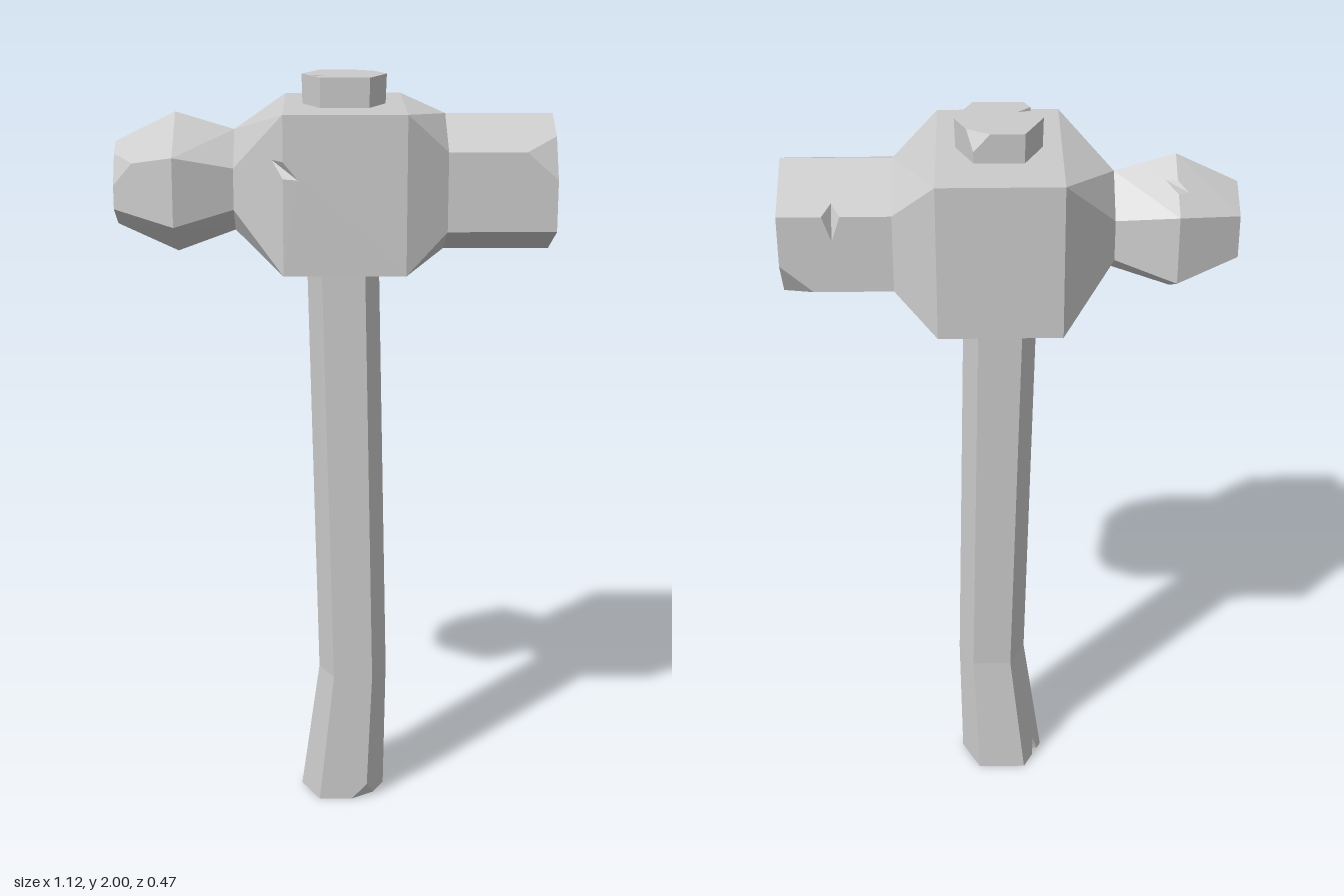
import * as THREE from 'three';
import { ConvexGeometry } from 'three/addons/geometries/ConvexGeometry.js';
import { mergeGeometries } from 'three/addons/utils/BufferGeometryUtils.js';

const V = (x, y, z) => new THREE.Vector3(x, y, z);
const pts = (list) => list.map((p) => V(...p));

// Part of a convex point set on the positive side of a plane
function clip(points, plane) {
  const eps = 1e-6;
  const kept = points.filter((p) => plane.distanceToPoint(p) > -eps);
  const pos = new ConvexGeometry(points).attributes.position;
  const add = (p) => {
    if (!kept.some((q) => q.distanceTo(p) < 1e-5)) kept.push(p);
  };
  for (let i = 0; i < pos.count; i++) {
    const a = V().fromBufferAttribute(pos, i);
    const b = V().fromBufferAttribute(pos, i % 3 === 2 ? i - 2 : i + 1);
    const da = plane.distanceToPoint(a), db = plane.distanceToPoint(b);
    if ((da > eps && db < -eps) || (da < -eps && db > eps)) add(a.lerp(b, da / (da - db)));
  }
  return kept;
}

// Remove the region around ref bounded by one or two planes; returns convex pieces
function carve(points, ref, triangles) {
  const pieces = [];
  let rest = points;
  for (const t of triangles) {
    const plane = new THREE.Plane().setFromCoplanarPoints(...t);
    if (plane.distanceToPoint(ref) > 0) plane.negate();
    pieces.push(clip(rest, plane));
    rest = clip(rest, plane.clone().negate());
  }
  return pieces;
}

// Broken corner: plane through three points near the corner
const chip = (corner, ...tri) => (points) => carve(points, V(...corner), [pts(tri)]);

// V-shaped nick in an edge: p, q on the edge, a and b the tips on the two faces
const nick = (...four) => (points) => {
  const [p, q, a, b] = pts(four);
  return carve(points, p.clone().lerp(q, 0.5), [[p, a, b], [q, a, b]]);
};

// Apply each piece of damage only to the sub-solid whose bounds hold it
function solid(points, damage = []) {
  let pieces = [points];
  for (const cut of damage) pieces = pieces.flatMap(cut).filter((p) => p.length > 3);
  return pieces.map((p) => new ConvexGeometry(p));
}

// Six-sided section of the head at x
const headRing = (x, top, high, low, bottom, z) => pts([
  [x, top, 0], [x, high, z], [x, low, z], [x, bottom, 0], [x, low, -z], [x, high, -z],
]);

// Six-sided section of the handle at y
const handleRing = (y, x0, x1, x2, x3, zf, zb) => pts([
  [x0, y, (zf + zb) / 2], [x1, y, zf], [x2, y, zf], [x3, y, (zf + zb) / 2], [x2, y, zb], [x1, y, zb],
]);

export function createModel() {
  const group = new THREE.Group();
  const material = new THREE.MeshStandardMaterial({ color: 0xcccccc, flatShading: true });
  const addPart = (name, geometries) => {
    const mesh = new THREE.Mesh(mergeGeometries(geometries), material);
    mesh.name = name;
    group.add(mesh);
  };

  const neckLeft = headRing(-0.255, 1.86, 1.775, 1.67, 1.6, 0.106);
  const neckRight = headRing(0.285, 1.9, 1.825, 1.625, 1.55, 0.175);

  // Central block tapering to both necks
  const block = [...neckLeft, ...neckRight];
  for (const x of [-0.127, 0.18])
    for (const y of [1.525, 1.925])
      for (const z of [-0.235, 0.235]) block.push(V(x, y, z));
  addPart('headBlock', solid(block, [
    nick([-0.127, 1.81, 0.235], [-0.127, 1.768, 0.235], [-0.155, 1.812, 0.207], [-0.09, 1.765, 0.235]),
  ]));

  // Rounded peen
  const peen = [
    ...neckLeft,
    ...headRing(-0.405, 1.905, 1.81, 1.635, 1.545, 0.167),
    ...headRing(-0.56, 1.83, 1.78, 1.67, 1.617, 0.095),
  ];
  addPart('peen', solid(peen, [
    chip([-0.56, 1.78, 0.095], [-0.51, 1.79, 0.118], [-0.56, 1.803, 0.05], [-0.56, 1.73, 0.095]),
    (p) => (Math.min(...p.map((v) => v.z)) < -0.1
      ? nick([-0.405, 1.845, -0.105], [-0.405, 1.865, -0.07], [-0.43, 1.842, -0.09], [-0.375, 1.862, -0.06])(p)
      : [p]),
  ]));

  // Striking face
  const poll = [...neckRight, ...headRing(0.56, 1.9, 1.825, 1.625, 1.55, 0.175)];
  addPart('strikingFace', solid(poll, [
    chip([0.56, 1.825, 0.175], [0.48, 1.825, 0.175], [0.56, 1.855, 0.105], [0.56, 1.755, 0.175]),
    chip([0.56, 1.625, -0.175], [0.48, 1.625, -0.175], [0.56, 1.595, -0.105], [0.56, 1.695, -0.175]),
    nick([0.408, 1.825, -0.175], [0.452, 1.825, -0.175], [0.43, 1.842, -0.135], [0.43, 1.76, -0.175]),
  ]));

  // Bent handle, from the butt up through the head
  const rings = [
    handleRing(0, -0.09, -0.04, 0.09, 0.14, 0.1, -0.097),
    handleRing(0.37, -0.04, 0, 0.105, 0.145, 0.095, -0.07),
    handleRing(1.525, -0.07, -0.032, 0.08, 0.118, 0.088, -0.086),
    handleRing(2, -0.082, -0.035, 0.09, 0.135, 0.1, -0.1),
  ];
  const buttDamage = [
    chip([0.09, 0, 0.1], [0.05, 0, 0.1], [0.093, 0.045, 0.099], [0.11, 0, 0.06]),
    nick([-0.08, 0, -0.019], [-0.065, 0, -0.049], [-0.068, 0.05, -0.03], [-0.03, 0, -0.02]),
  ];
  const topDamage = [
    chip([0.09, 2, -0.1], [0.048, 2, -0.1], [0.105, 2, -0.066], [0.088, 1.955, -0.099]),
    nick([-0.061, 2, 0.045], [-0.051, 2, 0.066], [-0.054, 1.95, 0.055], [-0.02, 2, 0.035]),
  ];
  addPart('handle', [
    ...solid([...rings[0], ...rings[1]], buttDamage),
    ...solid([...rings[1], ...rings[2]]),
    ...solid([...rings[2], ...rings[3]], topDamage),
  ]);

  return group;
}
